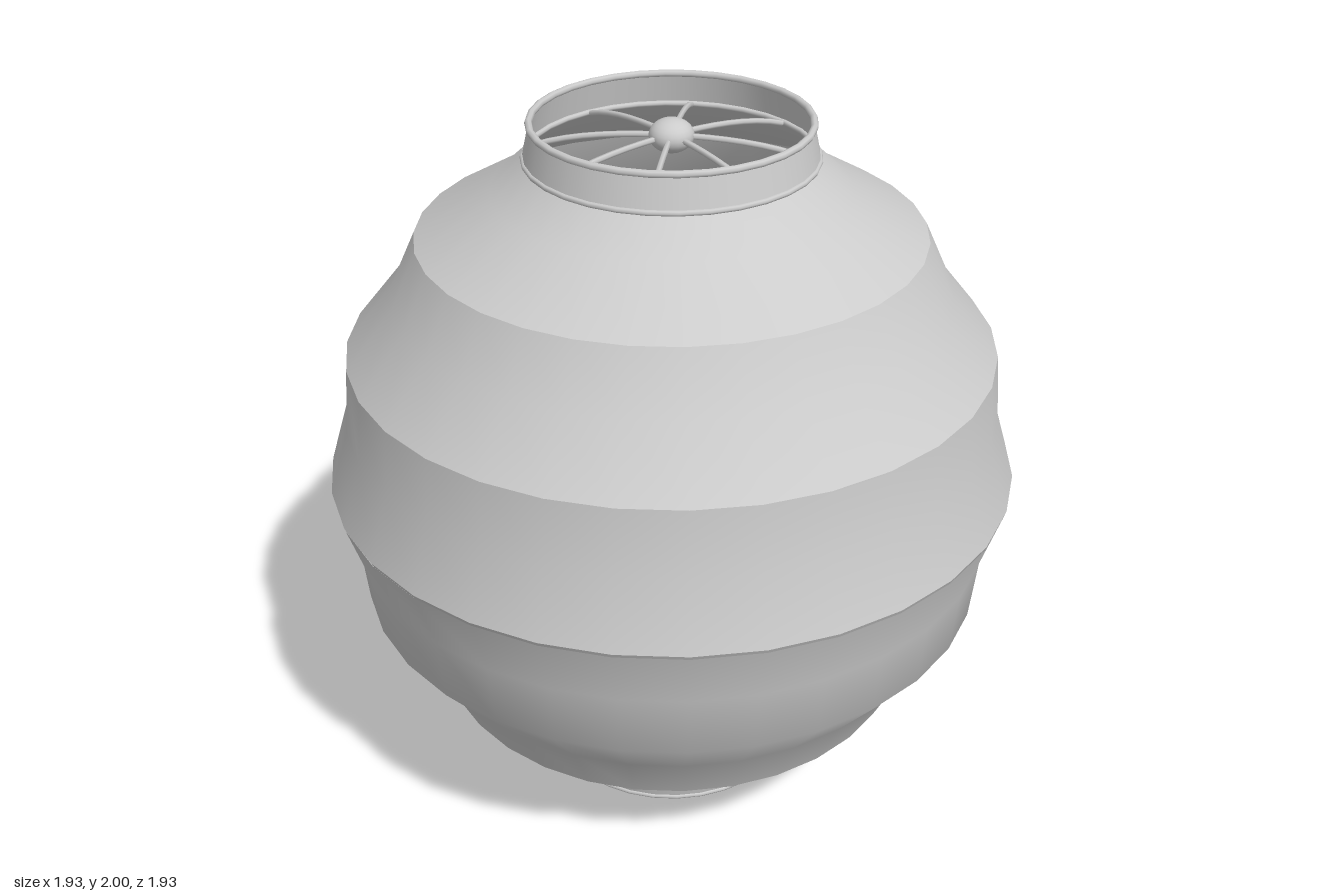
import * as THREE from 'three';

const SIDES = 32;

export function createModel() {
  const model = new THREE.Group();
  const mat = new THREE.MeshStandardMaterial({ color: 0xcccccc, side: THREE.DoubleSide });

  const add = (name, geometry, parent = model) => {
    const mesh = new THREE.Mesh(geometry, mat);
    mesh.name = name;
    parent.add(mesh);
    return mesh;
  };
  // Profile points are [radius, height], listed from bottom to top
  const lathe = (name, pts) =>
    add(name, new THREE.LatheGeometry(pts.map(([r, y]) => new THREE.Vector2(r, y)), SIDES));
  const ring = (name, r, y, thickness) => {
    const g = new THREE.TorusGeometry(r, thickness, 8, SIDES);
    g.rotateX(Math.PI / 2);
    add(name, g).position.y = y;
  };

  // Pleated shade: separate bands keep the folds between them crisp
  lathe('shadeBottom', [[0.388, 0.11], [0.48, 0.2], [0.685, 0.32]]);
  lathe('shadeLower', [[0.685, 0.32], [0.76, 0.475], [0.89, 0.635], [0.907, 0.815], [0.962, 0.99]]);
  lathe('shadeSeam', [[0.958, 0.985], [0.965, 1.0]]);
  lathe('shadeMiddle', [[0.965, 1.0], [0.907, 1.185], [0.89, 1.37]]);
  lathe('shadeUpper', [[0.89, 1.37], [0.76, 1.53], [0.685, 1.69]]);
  lathe('shadeTop', [[0.685, 1.69], [0.48, 1.81], [0.388, 1.895]]);

  // Collars with beaded rims
  lathe('bottomCollar', [[0.365, 0.008], [0.39, 0.11]]);
  lathe('topCollar', [[0.39, 1.895], [0.37, 1.985]]);
  ring('bottomRim', 0.363, 0.008, 0.008);
  ring('bottomCollarBead', 0.387, 0.106, 0.008);
  ring('topCollarBead', 0.387, 1.897, 0.008);
  ring('topRim', 0.369, 1.99, 0.01);

  // Domed wire frames, mirrored at the two openings
  const spokeCurve = new THREE.QuadraticBezierCurve3(
    new THREE.Vector3(0, 0.95, 0),
    new THREE.Vector3(0.24, 0.95, 0),
    new THREE.Vector3(0.372, 0.9, 0)
  );
  const spoke = new THREE.TubeGeometry(spokeCurve, 8, 0.008, 6);
  const hub = new THREE.SphereGeometry(0.06, 20, 12);
  for (const [name, flip] of [['topFrame', 0], ['bottomFrame', Math.PI]]) {
    const frame = new THREE.Group();
    frame.name = name;
    frame.position.y = 1;
    frame.rotation.x = flip;
    const h = add('hub', hub, frame);
    h.position.y = 0.95;
    h.scale.y = 0.75;
    for (let i = 0; i < 8; i++) add('spoke', spoke, frame).rotation.y = (i * Math.PI) / 4;
    model.add(frame);
  }
  return model;
}
